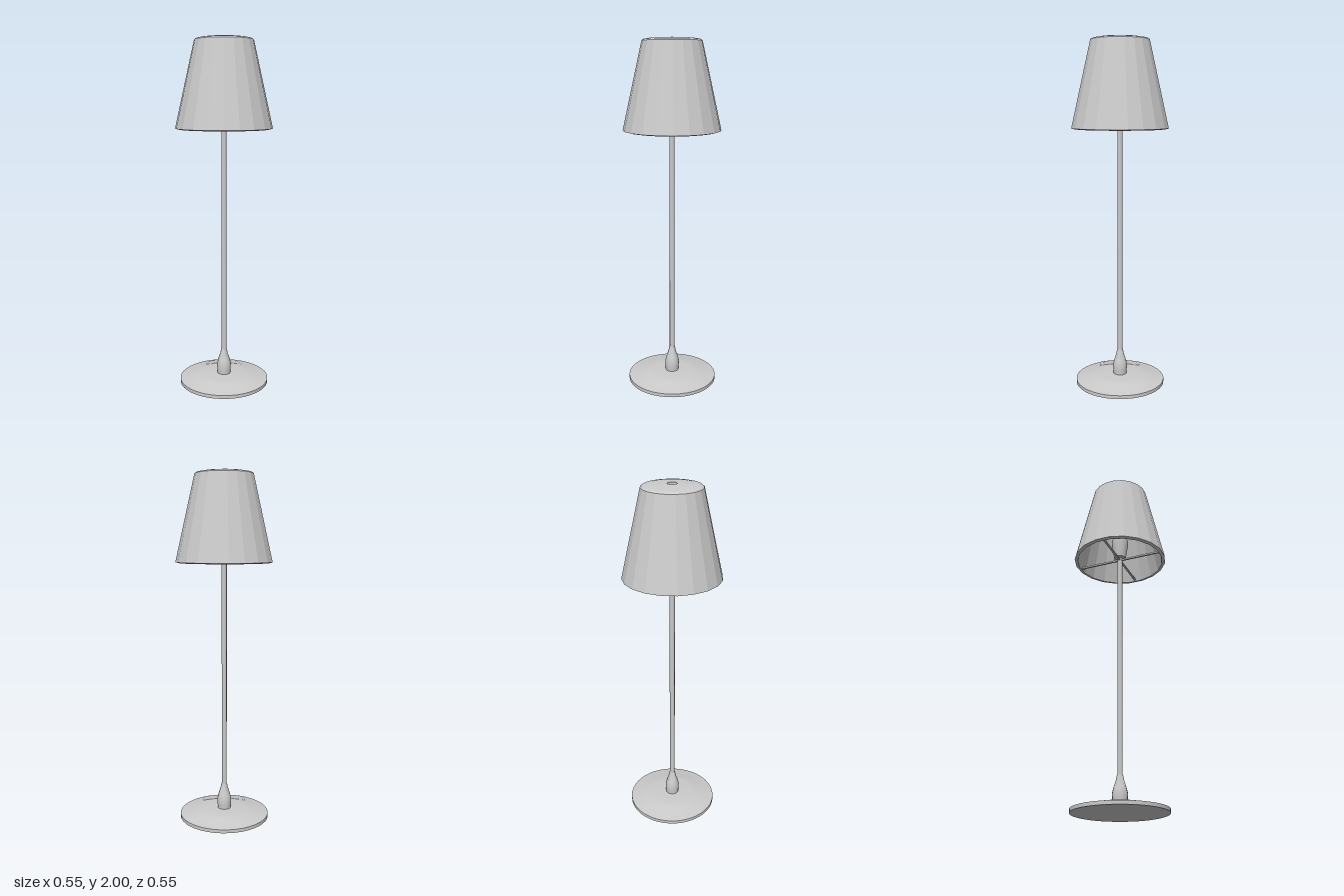
import * as THREE from 'three';
import { toCreasedNormals } from 'three/addons/utils/BufferGeometryUtils.js';

const material = new THREE.MeshStandardMaterial({ color: 0xcccccc });

// Revolves a profile of [radius, height] pairs, keeping edges above the crease angle sharp
function turned(name, profile, sides, crease) {
  const points = profile.map(([r, y]) => new THREE.Vector2(r, y));
  const mesh = new THREE.Mesh(toCreasedNormals(new THREE.LatheGeometry(points, sides), crease), material);
  mesh.name = name;
  return mesh;
}

export function createModel() {
  const lamp = new THREE.Group();
  lamp.name = 'floorLamp';

  // Flat-bottomed disc with a gently raised top
  lamp.add(turned('base', [
    [0, 0], [0.26, 0], [0.26, 0.02], [0.19, 0.032], [0.15, 0.043], [0.12, 0.046], [0, 0.048],
  ], 40, 0.6));

  // Bulb-shaped collar where the pole meets the base
  lamp.add(turned('collar', [
    [0.038, 0.04], [0.04, 0.07], [0.042, 0.1], [0.035, 0.13], [0.022, 0.17], [0.016, 0.2],
  ], 16, 0.8));

  // Slender pole, running up through the shade
  lamp.add(turned('pole', [[0, 0.05], [0.015, 0.05], [0.015, 1.96], [0, 1.96]], 8, 0.9));

  // Lamp socket inside the shade
  lamp.add(turned('socket', [
    [0, 1.52], [0.035, 1.52], [0.05, 1.62], [0.05, 1.64], [0, 1.64],
  ], 16, 0.6));

  // Faceted hollow shade with a slightly domed lid and a centre hole
  lamp.add(turned('shade', [
    [0.027, 1.965], [0.153, 1.965], [0.256, 1.495], [0.275, 1.5],
    [0.165, 1.983], [0.155, 1.99], [0.12, 1.996], [0.027, 2], [0.027, 1.965],
  ], 20, 0.3));

  // Small finial sunk in the lid's hole
  lamp.add(turned('finial', [
    [0, 1.95], [0.027, 1.95], [0.024, 1.978], [0.014, 1.99], [0, 1.993],
  ], 8, 0.3));

  // Four thin arms carrying the lower rim
  const arms = new THREE.Group();
  arms.name = 'shadeArms';
  for (let i = 0; i < 4; i++) {
    const geometry = new THREE.BoxGeometry(0.25, 0.01, 0.01);
    geometry.translate(0.133, 1.507, 0);
    const arm = new THREE.Mesh(geometry, material);
    arm.name = 'shadeArm';
    arm.rotation.y = Math.PI / 4 + (i * Math.PI) / 2;
    arms.add(arm);
  }
  lamp.add(arms);

  return lamp;
}
